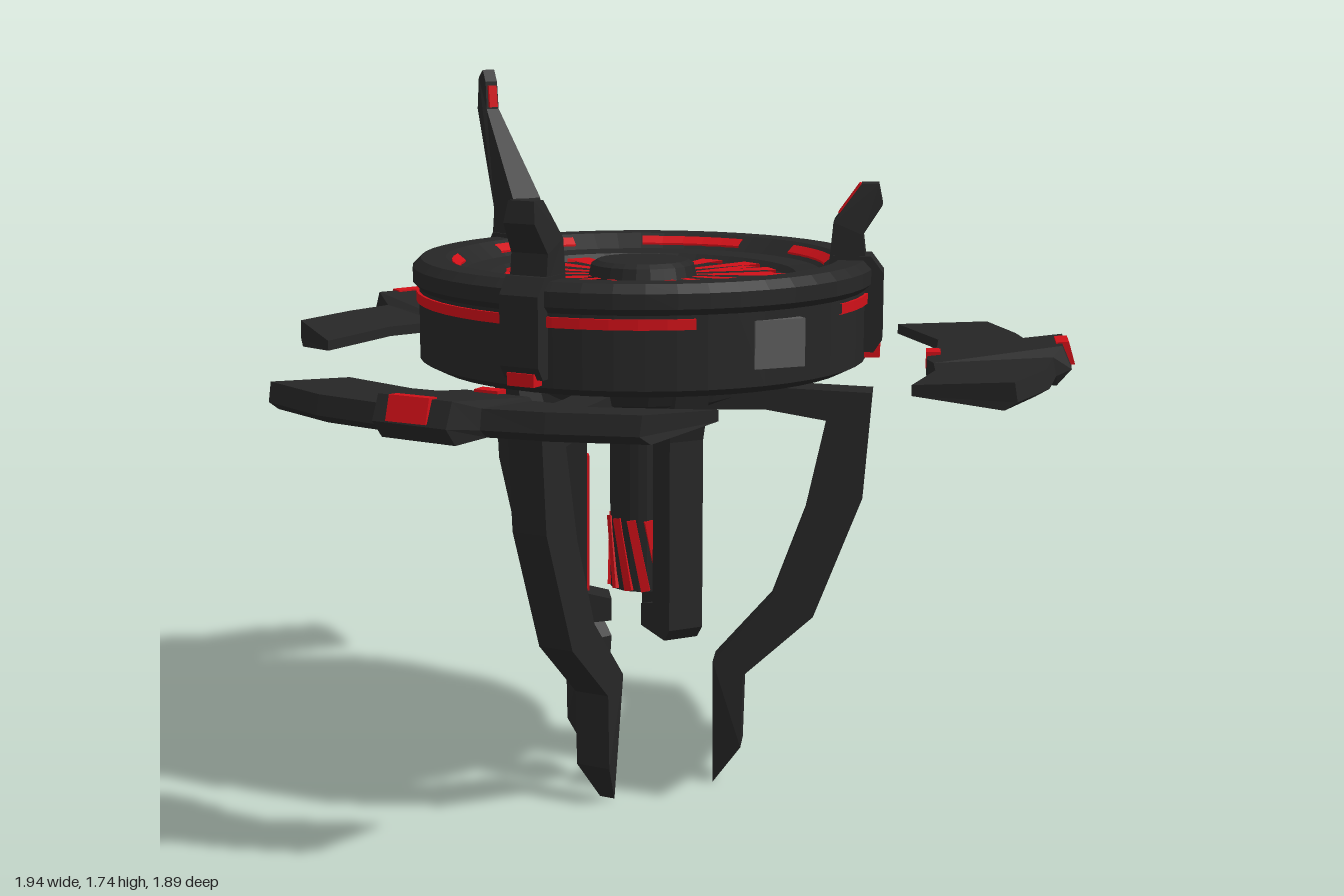
import * as THREE from 'three';

const mat = (color) => new THREE.MeshStandardMaterial({ color, flatShading: true, side: THREE.DoubleSide });
const rad = THREE.MathUtils.degToRad;

export function createModel() {
  const model = new THREE.Group();
  model.name = 'hoverDrone';
  const dark = mat(0x262626), red = mat(0xd01018), grey = mat(0x585858);
  const core = new THREE.Group();
  core.name = 'core';
  core.position.z = 0.065;
  model.add(core);

  const add = (parent, name, geo, material) => {
    const m = new THREE.Mesh(geo, material);
    m.name = name;
    parent.add(m);
    return m;
  };
  // Group whose local +x points outward at an angle measured from +x towards +z
  const spoke = (name, deg) => {
    const g = new THREE.Group();
    g.name = name;
    g.rotation.y = -rad(deg);
    core.add(g);
    return g;
  };
  // Side profile in (radius, height) given a width; taper(y) scales that width
  const slab = (pts, width, taper) => {
    const shape = new THREE.Shape(pts.map((p) => new THREE.Vector2(...p)));
    const geo = new THREE.ExtrudeGeometry(shape, { depth: width, bevelEnabled: false });
    geo.translate(0, 0, -width / 2);
    if (taper) {
      const p = geo.attributes.position;
      for (let i = 0; i < p.count; i++) p.setZ(i, p.getZ(i) * taper(p.getY(i)));
      geo.computeVertexNormals();
    }
    return geo;
  };
  const box = (r0, r1, y0, y1, w) =>
    new THREE.BoxGeometry(r1 - r0, y1 - y0, w).translate((r0 + r1) / 2, (y0 + y1) / 2, 0);
  const lathe = (pts, seg = 48, start = 0, len = Math.PI * 2) =>
    new THREE.LatheGeometry(pts.map((p) => new THREE.Vector2(...p)), seg, start, len);
  // Curved band between two angles
  const band = (r0, r1, y0, y1, a0, a1, slope = 0) =>
    lathe([[r0, y0], [r1, y0 + slope], [r1, y1 + slope], [r0, y1], [r0, y0]],
      Math.max(2, Math.ceil((a1 - a0) / 7)), rad(90 - a1), rad(a1 - a0));

  // Round body: shallow bowl below, flange on top, sunken fan floor
  add(core, 'body', lathe([
    [0, 1.02], [0.2, 1.03], [0.5, 1.06], [0.54, 1.08], [0.54, 1.25], [0.555, 1.265],
    [0.555, 1.3], [0.535, 1.32], [0.475, 1.32], [0.43, 1.285], [0.37, 1.28], [0.355, 1.265], [0, 1.265],
  ]), dark);
  add(core, 'sideLight', band(0.53, 0.547, 1.218, 1.242, 100.5, 416), red);
  add(core, 'frontPanel', new THREE.BoxGeometry(0.125, 0.11, 0.03).translate(0.105, 1.175, 0.527), grey);

  // Fan
  add(core, 'fanHub', lathe([[0.135, 1.26], [0.125, 1.3], [0.11, 1.31], [0, 1.31]], 24), dark);
  for (let i = 0; i < 18; i++) {
    const a = i * 20 + 5;
    add(core, 'fanBlade', band(0.13, i % 2 ? 0.35 : 0.335, 1.265, 1.274, a - 5, a + 5), red);
  }
  for (const [a0, a1] of [[-121, -90], [-67, -33], [-11, 21], [45, 101], [124, 158], [180, 213]])
    add(core, 'rimLight', band(0.44, 0.46, 1.289, 1.298, a0, a1, 0.016), red);

  // Wing: stations of inner angle, inner radius, outer angle, outer radius, raised or not
  const stations = [
    [-40, 0.8, -28, 0.96, 0], [-20, 0.762, -16, 0.95, 0], [-9, 0.72, -7.5, 0.95, 0],
    [-8, 0.705, -5.5, 1.04, 1], [6, 0.69, 5, 1.03, 1],
    [8, 0.71, 6, 0.995, 0], [16, 0.735, 16, 1.005, 0], [32, 0.77, 27.5, 1.0, 0],
  ];
  const wingGeometry = () => {
    const pos = [], idx = [], n = 5;
    for (const [ai, ri, ao, ro, up] of stations) {
      const ring = up
        ? [[0, 1.05], [0.9, 1.035], [1, 1.075], [0.93, 1.13], [0, 1.09]]
        : [[0, 1.06], [0.88, 1.04], [1, 1.06], [0.97, 1.105], [0, 1.085]];
      for (const [t, y] of ring) {
        const a = rad(ai + (ao - ai) * t), r = ri + (ro - ri) * t;
        pos.push(r * Math.cos(a), y, r * Math.sin(a));
      }
    }
    for (let i = 0; i < stations.length - 1; i++)
      for (let j = 0; j < n; j++) {
        const a = i * n + j, b = i * n + (j + 1) % n;
        idx.push(a, b, b + n, a, b + n, a + n);
      }
    const e = (stations.length - 1) * n;
    for (let j = 1; j < n - 1; j++) idx.push(0, j + 1, j, e, e + j, e + j + 1);
    const geo = new THREE.BufferGeometry();
    geo.setAttribute('position', new THREE.Float32BufferAttribute(pos, 3));
    geo.setIndex(idx);
    geo.computeVertexNormals();
    return geo;
  };

  // Fins, legs and wings share three directions
  const tallFin = [[0.46, 1.3], [0.47, 1.42], [0.615, 1.64], [0.62, 1.71], [0.632, 1.74],
    [0.65, 1.72], [0.655, 1.64], [0.55, 1.39], [0.56, 1.3]];
  const shortFin = [[0.45, 1.3], [0.46, 1.41], [0.525, 1.5], [0.565, 1.5], [0.575, 1.45], [0.53, 1.38], [0.54, 1.3]];
  const leg = [[0.1, 1.03], [0.3, 1.01], [0.56, 1.0], [0.54, 0.74], [0.425, 0.44], [0.255, 0.285], [0.25, 0.1],
    [0.18, 0], [0.18, 0.32], [0.32, 0.48], [0.4, 0.7], [0.45, 0.93], [0.3, 0.955], [0.1, 0.95]];
  for (const [deg, tall] of [[-106, true], [29.5, false], [141.5, false]]) {
    const g = spoke('armSet', deg);
    if (tall) {
      add(g, 'tallFin', slab(tallFin, 0.09, (y) => 1 - 0.6 * THREE.MathUtils.clamp((y - 1.4) / 0.25, 0, 1)), dark);
      add(g, 'finLight', slab([[0.609, 1.645], [0.614, 1.7], [0.63, 1.7], [0.63, 1.645]], 0.025), red);
    } else {
      add(g, 'shortFin', slab(shortFin, 0.095, (y) => 1 - 0.3 * THREE.MathUtils.clamp((y - 1.4) / 0.1, 0, 1)), dark);
      add(g, 'finLight', slab([[0.47, 1.43], [0.519, 1.499], [0.53, 1.497], [0.485, 1.428]], 0.055), red);
    }
    add(g, 'sideClip', slab([[0.5, 1.1], [0.56, 1.1], [0.58, 1.13], [0.58, 1.29], [0.55, 1.33], [0.46, 1.33]], 0.1), dark);
    add(g, 'clipLight', box(0.53, 0.575, 1.085, 1.115, 0.07), red);
    add(g, 'leg', slab(leg, 0.09, (y) => (y < 0.05 ? 0.45 : 1)), dark);
    add(g, 'wing', wingGeometry(), dark);
    add(g, 'wingLight', slab([[0.99, 1.08], [1.036, 1.08], [1.02, 1.134], [0.99, 1.132]], 0.1), red);
    add(g, 'wingInnerLight', box(0.685, 0.72, 1.06, 1.1, 0.06), red);
  }

  // Hanging core: hub, cylinder with slanted stripes
  add(core, 'lowerHub', lathe([[0, 0.9], [0.11, 0.9], [0.14, 0.95], [0.24, 0.99], [0.26, 1.04]], 18), dark);
  add(core, 'reactor', new THREE.CylinderGeometry(0.08, 0.08, 0.46, 24).translate(0, 0.73, 0), dark);
  for (let i = 0; i < 12; i++) {
    const g = spoke('stripe', i * 30);
    const m = add(g, 'reactorStripe', new THREE.BoxGeometry(0.012, 0.18, 0.022), red);
    m.position.set(0.077, 0.59, 0);
    m.rotation.x = 0.2;
  }

  // Hooked prongs between the legs, lit on their inner faces
  for (const deg of [85.5, 198, -38]) {
    const g = spoke('prongSet', deg);
    add(g, 'prong', slab([[0.08, 0.42], [0.2, 0.41], [0.225, 0.44], [0.225, 0.9], [0.26, 1.03], [0.1, 1.03],
      [0.1, 0.92], [0.14, 0.88], [0.14, 0.49], [0.08, 0.475]], 0.09), dark);
    add(g, 'prongLight', box(0.132, 0.145, 0.49, 0.83, 0.03), red);
  }
  return model;
}
